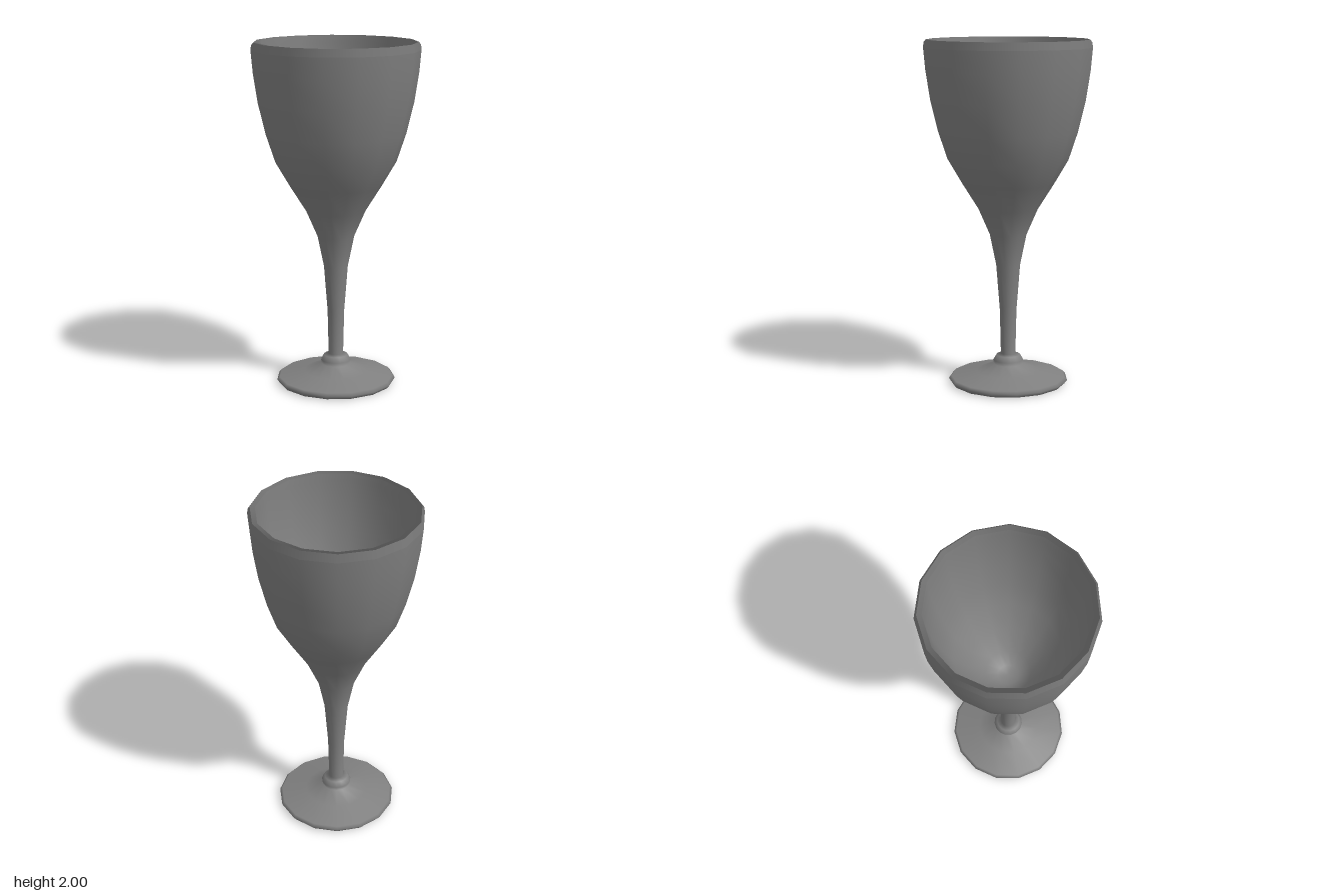
import * as THREE from 'three';

const SIDES = 15;
const TURN = THREE.MathUtils.degToRad(91.2); // puts a corner close to +x

// Revolves a list of [radius, height] pairs, bottom to top on the outside.
function lathe(name, profile, material) {
  const points = profile.map(([r, y]) => new THREE.Vector2(r, y));
  const mesh = new THREE.Mesh(new THREE.LatheGeometry(points, SIDES, TURN), material);
  mesh.name = name;
  return mesh;
}

// Turns all normals straight outward, so the shading follows the wall.
function shadeOutward(geometry) {
  const { position, normal } = geometry.attributes;
  for (let i = 0; i < position.count; i++) {
    const x = position.getX(i), z = position.getZ(i), r = Math.hypot(x, z);
    normal.setXYZ(i, x / r, 0, z / r);
  }
}

export function createModel() {
  const model = new THREE.Group();
  model.name = 'wineGlass';
  const material = new THREE.MeshStandardMaterial({ color: 0x808080 });

  // Foot, collar, stem and outer bowl in one smooth sweep
  model.add(lathe('footStemAndBowl', [
    [0, 0], [0.335, 0], [0.35, 0.02], [0.335, 0.036], [0.187, 0.066],
    [0.084, 0.107], [0.088, 0.13], [0.07, 0.16], [0.043, 0.168],
    [0.049, 0.43], [0.07, 0.7], [0.107, 0.88], [0.172, 1.03], [0.266, 1.18],
    [0.348, 1.32], [0.401, 1.48], [0.444, 1.66], [0.47, 1.83], [0.481, 1.955],
  ], material));

  // Narrow rim, shaded as a continuation of the outer wall
  const rim = lathe('rim', [[0.481, 1.955], [0.478, 1.985], [0.466, 2], [0.438, 1.997]], material);
  shadeOutward(rim.geometry);
  model.add(rim);

  // Inside of the bowl, from the rim down to a shallow bottom
  model.add(lathe('bowlInterior', [
    [0.438, 1.997], [0.435, 1.955], [0.428, 1.83], [0.402, 1.66], [0.36, 1.48],
    [0.307, 1.33], [0.222, 1.19], [0.13, 1.06], [0.06, 1.01], [0, 1.01],
  ], material));

  model.position.x = -0.005; // an odd number of sides reaches further on one side
  return model;
}
